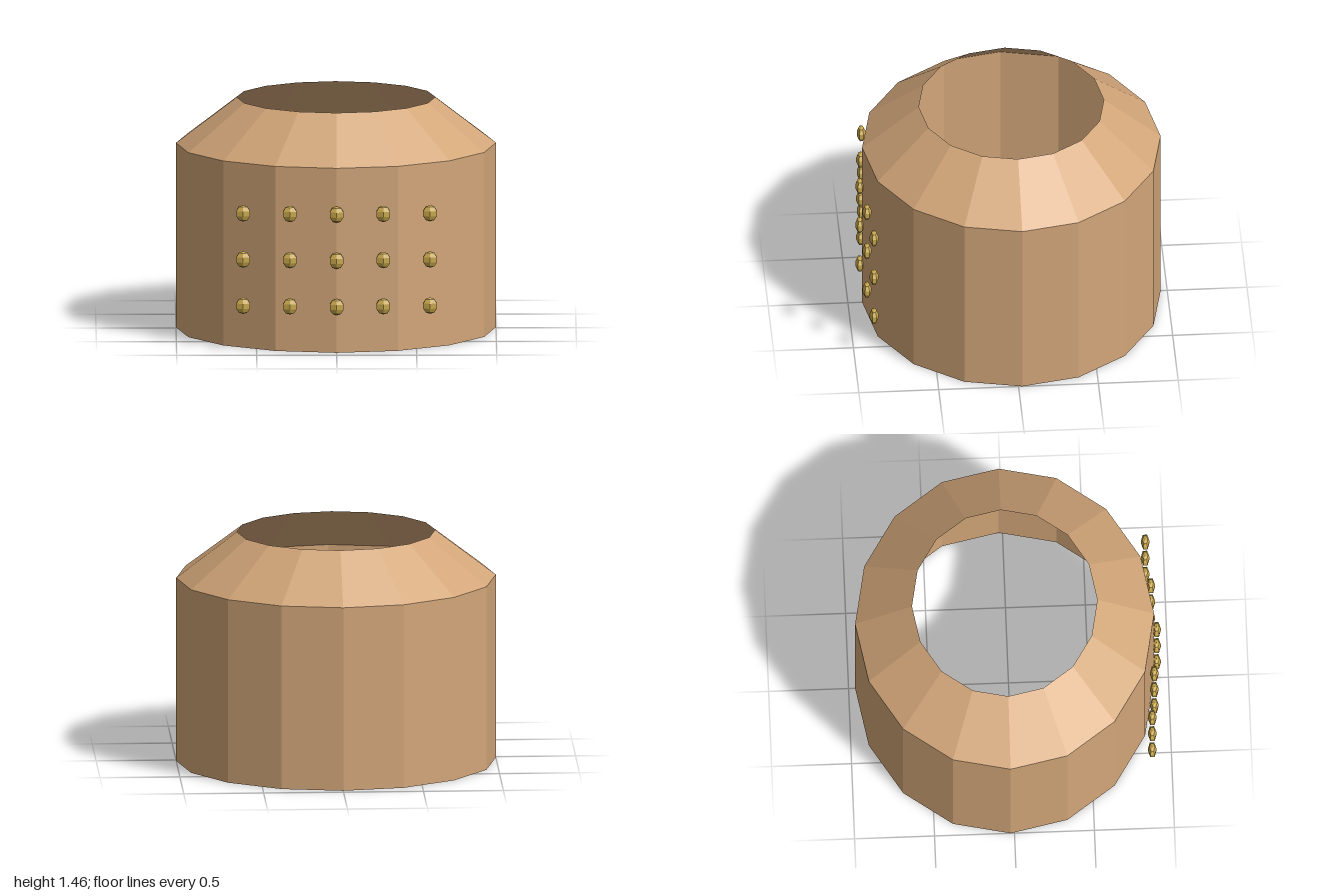
import * as THREE from 'three';

export function createModel() {
  const model = new THREE.Group();
  const tan = new THREE.MeshStandardMaterial({ color: 0xd2a679, flatShading: true, side: THREE.DoubleSide });
  tan.name = 'tan';
  const brass = new THREE.MeshStandardMaterial({ color: 0xc9a84c, flatShading: true });
  brass.name = 'brass';

  // Open sixteen-sided shells, slightly flattened front to back
  const addShell = (name, topRadius, bottomRadius, y0, y1) => {
    const geometry = new THREE.CylinderGeometry(topRadius, bottomRadius, y1 - y0, 16, 1, true);
    geometry.scale(1, 1, 0.935);
    const shell = new THREE.Mesh(geometry, tan);
    shell.name = name;
    shell.position.set(0, (y0 + y1) / 2, -0.024);
    model.add(shell);
  };
  addShell('body', 1, 1, 0, 1.17);
  addShell('shoulder', 0.62, 1, 1.17, 1.46);

  // Three rows of five flattened studs on the front
  const studGeometry = new THREE.SphereGeometry(0.052, 6, 5);
  studGeometry.rotateY(Math.PI / 2);
  studGeometry.scale(1, 1, 0.55);
  const studs = new THREE.Group();
  studs.name = 'studs';
  const depths = [0.926, 0.901, 0.877];
  for (let row = 0; row < 3; row++) {
    for (let column = -2; column <= 2; column++) {
      const stud = new THREE.Mesh(studGeometry, brass);
      stud.name = 'stud';
      stud.position.set(column * 0.292, 0.293 * (row + 1), depths[Math.abs(column)]);
      studs.add(stud);
    }
  }
  model.add(studs);
  return model;
}
